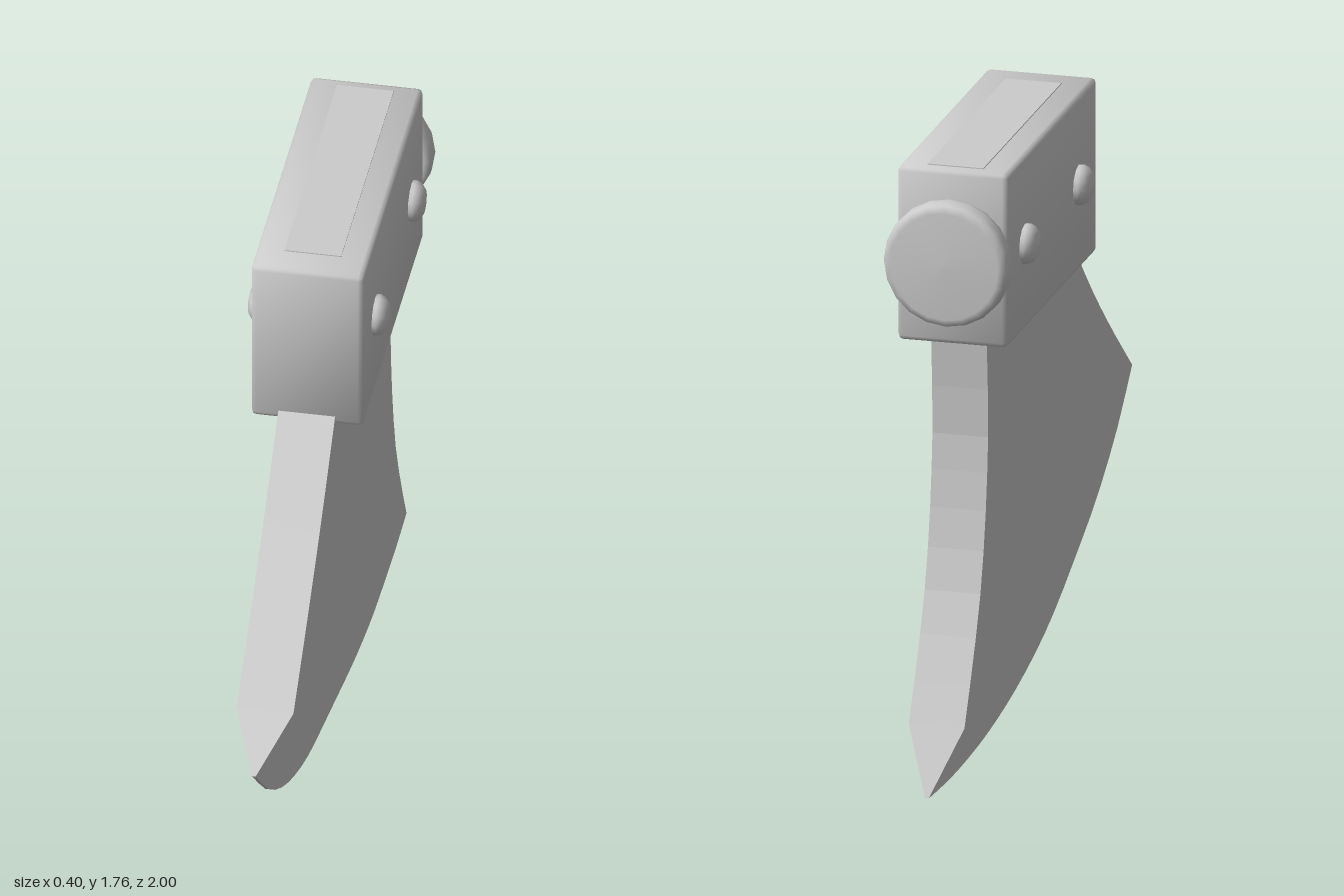
import * as THREE from 'three';
import { RoundedBoxGeometry } from 'three/addons/geometries/RoundedBoxGeometry.js';

const HALF = 0.08;  // half thickness of the blade
const EDGE = 0.005; // half thickness of the sharpened edge

// Smooth curve through (z, y) points, sampled evenly
const curve = (pts, n) =>
  new THREE.SplineCurve(pts.map(([z, y]) => new THREE.Vector2(z, y))).getPoints(n);

// Sharpened band between the shoulder line and the cutting edge
function bevelGeometry(shoulder, edge) {
  const pos = [], nor = [];
  const at = (p, x) => new THREE.Vector3(x, p.y, p.x);
  const quad = (a, b, c, d, normal) => {
    const n = normal || b.clone().sub(a).cross(c.clone().sub(a)).normalize();
    for (const v of [a, b, c, a, c, d]) {
      pos.push(v.x, v.y, v.z);
      nor.push(n.x, n.y, n.z);
    }
  };
  const last = edge.length - 1;
  for (let i = 0; i < last; i++) {
    const [s0, s1, e0, e1] = [shoulder[i], shoulder[i + 1], edge[i], edge[i + 1]];
    // Both cheeks keep the sideways normal, so they blend into the flat blade
    quad(at(s0, HALF), at(e0, EDGE), at(e1, EDGE), at(s1, HALF), new THREE.Vector3(1, 0, 0));
    quad(at(s1, -HALF), at(e1, -EDGE), at(e0, -EDGE), at(s0, -HALF), new THREE.Vector3(-1, 0, 0));
    quad(at(e0, EDGE), at(e0, -EDGE), at(e1, -EDGE), at(e1, EDGE));
  }
  // Pointed front and back ends
  quad(at(shoulder[0], -HALF), at(edge[0], -EDGE), at(edge[0], EDGE), at(shoulder[0], HALF));
  quad(at(shoulder[last], HALF), at(edge[last], EDGE), at(edge[last], -EDGE), at(shoulder[last], -HALF));
  const g = new THREE.BufferGeometry();
  g.setAttribute('position', new THREE.Float32BufferAttribute(pos, 3));
  g.setAttribute('normal', new THREE.Float32BufferAttribute(nor, 3));
  return g;
}

// Block with small bevels and softly blended normals
function softBlock(w, h, d) {
  const g = new RoundedBoxGeometry(w, h, d, 1, 0.014);
  const p = g.attributes.position, n = g.attributes.normal;
  const v = new THREE.Vector3(), c = new THREE.Vector3();
  for (let i = 0; i < p.count; i++) {
    c.set(Math.sign(p.getX(i)), Math.sign(p.getY(i)), Math.sign(p.getZ(i))).normalize();
    v.fromBufferAttribute(n, i).lerp(c, 0.4).normalize();
    n.setXYZ(i, v.x, v.y, v.z);
  }
  return g;
}

// Turned part from [radius, height] points
const turned = (pts, sides) =>
  new THREE.LatheGeometry(pts.map(([r, y]) => new THREE.Vector2(r, y)), sides);

export function createModel() {
  const group = new THREE.Group();
  const steel = new THREE.MeshStandardMaterial({ color: 0xcccccc });
  steel.name = 'steel';
  const add = (name, geometry, x = 0, y = 0, z = 0) => {
    const m = new THREE.Mesh(geometry, steel);
    m.name = name;
    m.position.set(x, y, z);
    group.add(m);
    return m;
  };

  // Outlines as (z, y), running from front to back
  const frontSide = curve([[0.195, 1.275], [0.4, 1.075], [0.6, 0.9], [0.83, 0.715]], 8);
  const shoulder = curve([[0.83, 0.715], [0.68, 0.58], [0.5, 0.46], [0.32, 0.37], [0.14, 0.305],
    [-0.04, 0.26], [-0.22, 0.225], [-0.4, 0.2], [-0.58, 0.19], [-0.75, 0.185], [-0.9, 0.19]], 20);
  const edge = curve([[1, 0.61], [0.8, 0.428], [0.6, 0.295], [0.4, 0.197], [0.2, 0.123],
    [0, 0.072], [-0.2, 0.036], [-0.4, 0.013], [-0.6, 0.002], [-0.8, 0.001], [-1, 0.011]], 20);
  const backSide = curve([[-0.9, 0.19], [-0.81, 0.36], [-0.735, 0.53], [-0.69, 0.7],
    [-0.665, 0.86], [-0.655, 1.02], [-0.67, 1.25]], 9);

  // Flat blade with the tang that shows through the top of the socket
  const outline = new THREE.Shape([
    new THREE.Vector2(0.1, 1.758), new THREE.Vector2(0.1, 1.3),
    ...frontSide, ...shoulder.slice(1), ...backSide.slice(1),
    new THREE.Vector2(-0.705, 1.3), new THREE.Vector2(-0.705, 1.758),
  ]);
  const body = new THREE.ExtrudeGeometry(outline, { depth: 2 * HALF, bevelEnabled: false });
  body.translate(0, 0, -HALF).rotateY(-Math.PI / 2);
  add('blade', body);
  add('cuttingEdge', bevelGeometry(shoulder, edge));

  // Socket block
  add('socket', softBlock(0.315, 0.505, 0.93), 0, 1.5025, -0.275);

  // Domed rivets on both sides
  const rivet = turned([[0.058, -0.01], [0.058, 0.012], [0.052, 0.026], [0.036, 0.038], [0, 0.044]], 12);
  for (const side of [1, -1]) {
    for (const z of [0, -0.555]) {
      add('rivet', rivet, side * 0.156, 1.5, z).rotation.z = -side * Math.PI / 2;
    }
  }

  // Round cap at the back of the socket
  const cap = turned([[0, -0.01], [0.16, 0], [0.175, 0.012], [0.18, 0.03], [0.18, 0.06],
    [0.174, 0.077], [0.155, 0.086], [0, 0.09]], 20);
  add('backCap', cap, 0, 1.5, -0.738).rotation.x = -Math.PI / 2;

  return group;
}
